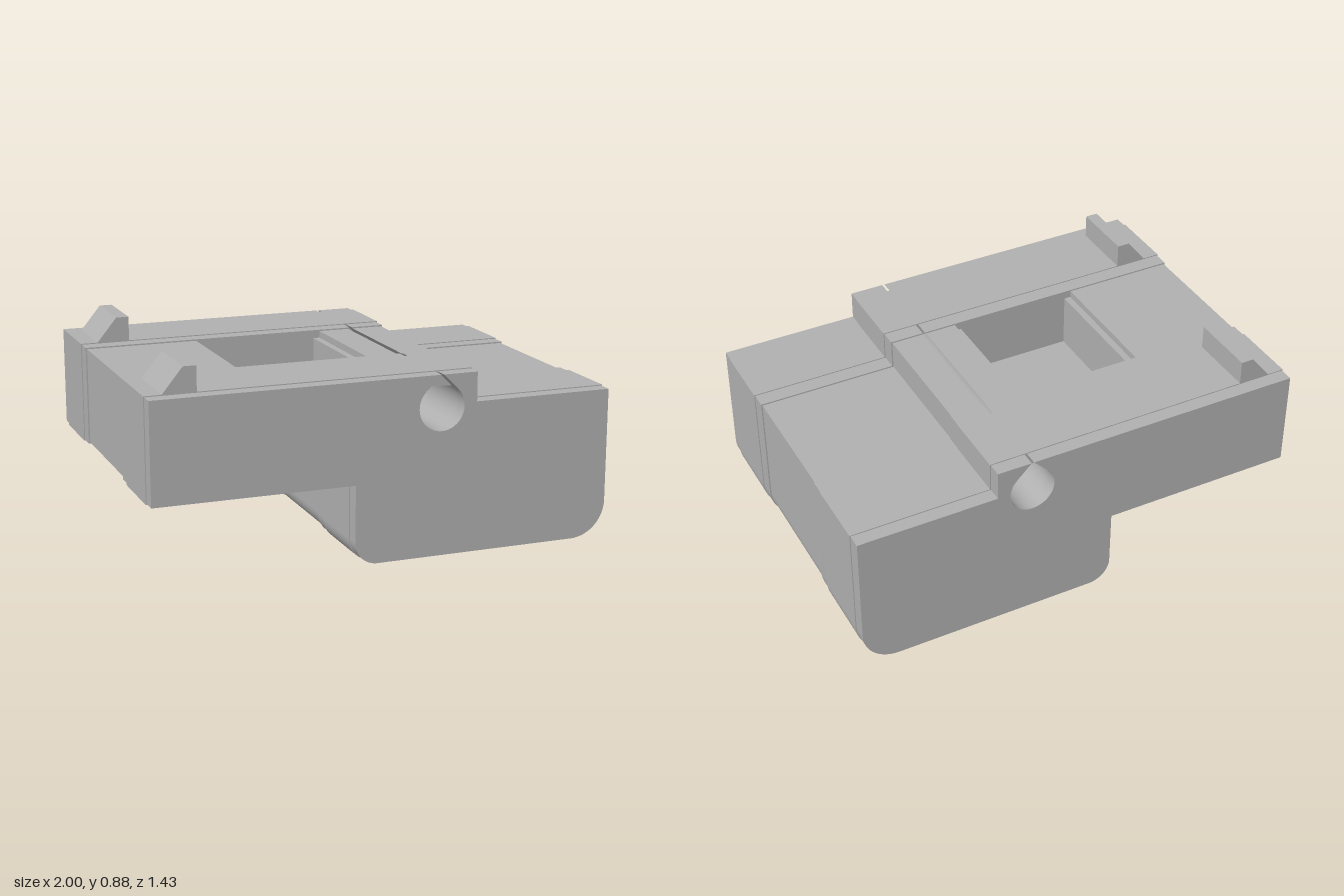
import * as THREE from 'three';
import { toCreasedNormals } from 'three/addons/utils/BufferGeometryUtils.js';

const HOLE = { x: 0.23, y: 0.635, r: 0.1 };
const APEX = HOLE.y + HOLE.r * Math.SQRT2; // tip of the teardrop hole

// Side profile, shrunk by d; slit opens the teardrop hole to the top, pocket cuts the recess
function bodyShape(d, { slit = false, pocket = false } = {}) {
  const s = new THREE.Shape();
  const top = 0.775 - d, right = 1 - d, left = -0.15 + d;
  const rBig = 0.16 - d, rSmall = 0.1 - d;
  s.moveTo(-1 + d, 0.34 + d);
  s.lineTo(left, 0.34 + d);
  s.lineTo(left, d + rSmall);
  s.absarc(left + rSmall, d + rSmall, rSmall, Math.PI, Math.PI * 1.5, false);
  s.lineTo(right - rBig, d);
  s.absarc(right - rBig, d + rBig, rBig, -Math.PI / 2, 0, false);
  s.lineTo(right, 0.65 - d);
  s.lineTo(0.39 - d, 0.65 - d);
  s.lineTo(0.39 - d, top);
  if (slit) {
    const w = APEX - top;
    s.lineTo(HOLE.x + w, top);
    s.absarc(HOLE.x, HOLE.y, HOLE.r, Math.PI / 4, -Math.PI * 1.25, true);
    s.lineTo(HOLE.x - w, top);
  }
  if (pocket) {
    [[0.08, top], [0.08, 0.735], [0.05, 0.735], [0.05, 0.5],
      [-0.47, 0.5], [-0.47, 0.735], [-0.5, 0.735], [-0.5, top]]
      .forEach(([x, y]) => s.lineTo(x, y));
  }
  s.lineTo(-1 + d, top);
  s.closePath();
  return s;
}

// Hole with a flattened top
function flatHole() {
  const p = new THREE.Path();
  const flat = 0.715, w = APEX - flat;
  p.moveTo(HOLE.x + w, flat);
  p.absarc(HOLE.x, HOLE.y, HOLE.r, Math.PI / 4, -Math.PI * 1.25, true);
  p.lineTo(HOLE.x - w, flat);
  p.closePath();
  return p;
}

export function createModel() {
  const model = new THREE.Group();
  model.name = 'slottedBlock';
  const grey = new THREE.MeshStandardMaterial({ color: 0xb0b0b0 });
  grey.name = 'plainGrey';

  function slab(name, shape, z0, z1) {
    const geo = new THREE.ExtrudeGeometry(shape, { depth: z1 - z0, bevelEnabled: false, curveSegments: 20 });
    geo.translate(0, 0, z0);
    const mesh = new THREE.Mesh(toCreasedNormals(geo, 0.5), grey);
    mesh.name = name;
    model.add(mesh);
  }

  // Centre section with the open pocket
  slab('centreSection', bodyShape(0.01, { slit: true, pocket: true }), -0.29, 0.29);

  // Wedge-shaped catch on the top
  const catchShape = new THREE.Shape();
  catchShape.moveTo(-0.93, 0.77);
  catchShape.lineTo(-0.785, 0.77);
  catchShape.lineTo(-0.785, 0.88);
  catchShape.lineTo(-0.84, 0.88);
  catchShape.closePath();

  const rail = bodyShape(0);
  rail.holes.push(flatHole());
  const inset = bodyShape(0.004, { slit: true });

  // Mirrored layers on both sides
  for (const [side, label] of [[1, 'front'], [-1, 'back']]) {
    const add = (name, shape, a, b) =>
      slab(label + name, shape, Math.min(side * a, side * b), Math.max(side * a, side * b));
    add('InnerBand', inset, 0.29, 0.36);
    add('Rail', rail, 0.36, 0.655);
    add('SideCap', inset, 0.655, 0.717);
    add('Catch', catchShape, 0.36, 0.655);
  }
  return model;
}
